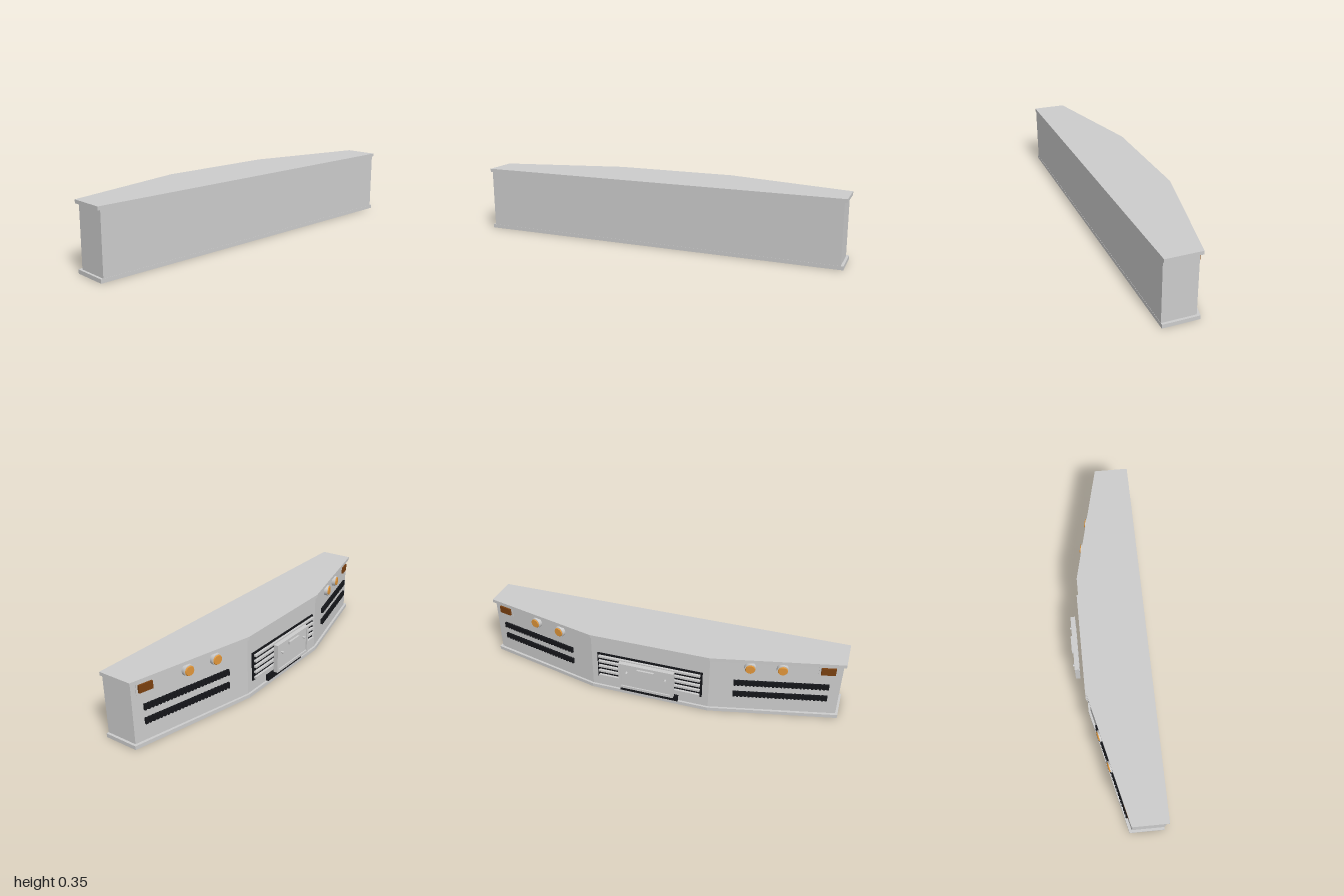
import * as THREE from 'three';

const mat = (color) => new THREE.MeshStandardMaterial({ color });
const grey = mat(0xcccccc), black = mat(0x15161a), amber = mat(0xe0963a), darkAmber = mat(0x7a4010);

function add(parent, name, geo, material, x = 0, y = 0, z = 0) {
  const m = new THREE.Mesh(geo, material);
  m.name = name;
  m.position.set(x, y, z);
  parent.add(m);
  return m;
}

// Box given by its centre x, y and its z range
const slab = (parent, name, material, x, y, w, h, z0, z1) =>
  add(parent, name, new THREE.BoxGeometry(w, h, Math.abs(z1 - z0)), material, x, y, (z0 + z1) / 2);

// Tapered outline in plan, extruded upwards from y0 to y1
function prism(halfW, zBack, zSide, zFace, y0, y1) {
  const s = new THREE.Shape([
    [-halfW, -zBack], [halfW, -zBack], [halfW, -zSide],
    [0.33, -zFace], [-0.33, -zFace], [-halfW, -zSide],
  ].map(([x, y]) => new THREE.Vector2(x, y)));
  const g = new THREE.ExtrudeGeometry(s, { depth: y1 - y0, bevelEnabled: false });
  g.rotateX(-Math.PI / 2);
  g.translate(0, y0, 0);
  return g;
}

// Rectangular frame facing z
function frameGeo(w, h, border, depth) {
  const rect = (P, a, b) => new P([[-a, -b], [a, -b], [a, b], [-a, b]].map((p) => new THREE.Vector2(...p)));
  const s = rect(THREE.Shape, w / 2, h / 2);
  s.holes.push(rect(THREE.Path, w / 2 - border, h / 2 - border));
  return new THREE.ExtrudeGeometry(s, { depth, bevelEnabled: false });
}

// Cylinder whose axis is z, from z = 0 out to z = -length
function disc(r0, r1, length) {
  const g = new THREE.CylinderGeometry(r1, r0, length, 32);
  g.rotateX(-Math.PI / 2);
  g.translate(0, 0, -length / 2);
  return g;
}

const FACE = -0.128, SLOPE = 0.241;

export function createModel() {
  const root = new THREE.Group();
  root.name = 'bumper';

  // Main beam with an overhanging plate at top and bottom
  add(root, 'beam', prism(0.987, 0.202, 0.03, FACE, 0.018, 0.332), grey);
  add(root, 'bottomPlate', prism(1, 0.203, 0.018, -0.14, 0, 0.02), grey);
  add(root, 'topPlate', prism(1, 0.203, 0.018, -0.14, 0.33, 0.348), grey);

  // Fittings on the two angled wings; local -z points out of the wall
  for (const side of [1, -1]) {
    const mount = (name, x, y) => {
      const g = new THREE.Group();
      g.name = name;
      g.position.set(side * x, y, FACE + (x - 0.33) * SLOPE);
      g.rotation.y = -side * Math.atan(SLOPE);
      root.add(g);
      return g;
    };

    // Round lamps
    for (const x of [0.53, 0.69]) {
      const lamp = mount('roundLamp', x, 0.297);
      add(lamp, 'lampHousing', disc(0.031, 0.03, 0.021), grey);
      add(lamp, 'lampLens', disc(0.026, 0.023, 0.005), amber, 0, 0, -0.021);
    }

    // Corner marker
    const marker = mount('cornerMarker', 0.915, 0.297);
    add(marker, 'markerFrame', frameGeo(0.096, 0.06, 0.01, 0.004), grey, 0, 0, -0.003);
    slab(marker, 'markerLens', darkAmber, 0, 0, 0.074, 0.04, 0, -0.013);

    // Ribbed vents
    for (const y of [0.123, 0.196]) {
      const vent = mount('sideVent', 0.692, y);
      slab(vent, 'ventBack', black, 0, 0, 0.488, 0.028, 0, -0.01);
      for (let i = 0; i < 25; i++)
        slab(vent, 'ventRib', black, (i - 12) * 0.02, 0, 0.01, 0.031, 0, -0.0135);
    }
  }

  // Centre grille
  slab(root, 'grilleBack', black, 0, 0.159, 0.59, 0.158, FACE + 0.002, -0.135);
  for (let i = 0; i < 5; i++)
    slab(root, 'grilleBar', grey, 0, 0.096 + i * 0.0316, 0.57, 0.011, -0.134, -0.149);

  // Lower step pad
  slab(root, 'stepPad', black, 0, 0.038, 0.33, 0.034, FACE + 0.002, -0.143);

  // Plate holder with its light and bolts
  const holder = new THREE.Group();
  holder.name = 'plateHolder';
  root.add(holder);
  add(holder, 'holderFrame', frameGeo(0.306, 0.158, 0.014, 0.025), grey, 0, 0.159, -0.193);
  slab(holder, 'holderPanel', grey, 0, 0.159, 0.28, 0.132, -0.17, -0.186);
  slab(holder, 'plateLight', grey, 0, 0.213, 0.094, 0.016, -0.185, -0.201);
  for (const x of [-0.108, 0.108])
    add(holder, 'plateBolt', disc(0.006, 0.006, 0.016), grey, x, 0.184, -0.186);

  return root;
}
